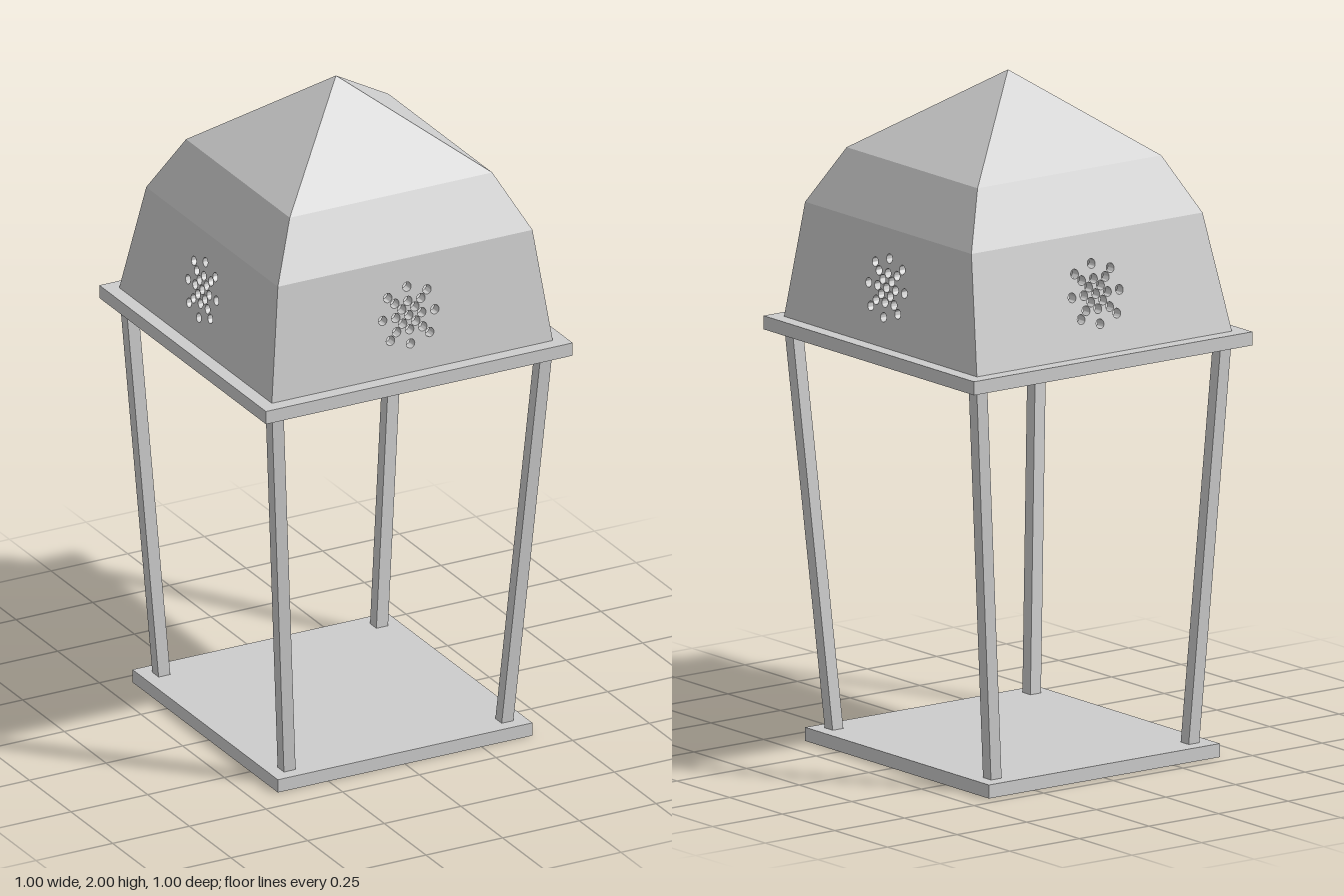
import * as THREE from 'three';
import { toCreasedNormals } from 'three/addons/utils/BufferGeometryUtils.js';

// Dome rings: height and reach of the front, left (+x), back and right (-x) sides
const RINGS = [
  { y: 1.25, reach: [0.458, 0.458, 0.458, 0.458] },
  { y: 1.59, reach: [0.415, 0.415, 0.375, 0.415] },
  { y: 1.755, reach: [0.33, 0.33, 0.292, 0.33] },
  { y: 2.0, reach: [0, 0, 0, 0] },
];
const SIDES = ['front', 'left', 'back', 'right'];
const WALL = 0.03;

// Star of small round holes: long upright and level arms, diagonal arms between
function starHoles() {
  const spots = [[0, 0]];
  for (const [a, b] of [[1, 0], [-1, 0], [0, 1], [0, -1]])
    for (const r of [0.0425, 0.085]) spots.push([a * r, b * r]);
  for (const a of [-1, 1]) for (const b of [-1, 1])
    for (const r of [0.0213, 0.0425, 0.064]) spots.push([a * r, b * r]);
  return spots.map(([x, y]) => new THREE.Path().absarc(x, 1.42 + y, 0.0138, 0, Math.PI * 2, true));
}

// Reach of one side at height y on the lowest dome band
function reachAt(side, y) {
  const [a, b] = RINGS;
  const k = side % 4;
  return THREE.MathUtils.mapLinear(y, a.y, b.y, a.reach[k], b.reach[k]);
}

// Leaning pierced wall, mitred at its corners
function wallGeometry(side) {
  const [y0, y1] = [RINGS[0].y, RINGS[1].y];
  const shape = new THREE.Shape([
    new THREE.Vector2(-reachAt(side + 3, y0), y0),
    new THREE.Vector2(reachAt(side + 1, y0), y0),
    new THREE.Vector2(reachAt(side + 1, y1), y1),
    new THREE.Vector2(-reachAt(side + 3, y1), y1),
  ]);
  shape.holes = starHoles();
  const geo = new THREE.ExtrudeGeometry(shape, { depth: WALL, bevelEnabled: false, curveSegments: 16 });
  const p = geo.attributes.position;
  for (let i = 0; i < p.count; i++) {
    const y = p.getY(i);
    const d = WALL - p.getZ(i);
    const u = THREE.MathUtils.clamp(p.getX(i), d - reachAt(side + 3, y), reachAt(side + 1, y) - d);
    p.setXYZ(i, u, y, reachAt(side, y) - d);
  }
  geo.rotateY(side * Math.PI / 2);
  return toCreasedNormals(geo, 0.6);
}

// Faceted band between two rings
function bandGeometry(low, high) {
  const corner = ({ y, reach: [f, l, b, r] }, k) =>
    [[-r, y, f], [l, y, f], [l, y, -b], [-r, y, -b]][k % 4];
  const pos = [];
  for (let k = 0; k < 4; k++) {
    const [a, b, c, d] = [corner(low, k), corner(low, k + 1), corner(high, k + 1), corner(high, k)];
    pos.push(...a, ...b, ...c);
    if (high.reach[0] > 0) pos.push(...a, ...c, ...d);
  }
  const geo = new THREE.BufferGeometry();
  geo.setAttribute('position', new THREE.Float32BufferAttribute(pos, 3));
  geo.computeVertexNormals();
  return geo;
}

// Square post leaning from a bottom point to a top point, cut level at both ends
function legGeometry(x0, z0, x1, z1) {
  const [y0, y1] = [0.04, 1.21];
  const geo = new THREE.BoxGeometry(0.038, y1 - y0, 0.038).translate(0, (y0 + y1) / 2, 0);
  const p = geo.attributes.position;
  for (let i = 0; i < p.count; i++) {
    const t = (p.getY(i) - y0) / (y1 - y0);
    p.setX(i, p.getX(i) + THREE.MathUtils.lerp(x0, x1, t));
    p.setZ(i, p.getZ(i) + THREE.MathUtils.lerp(z0, z1, t));
  }
  geo.computeVertexNormals();
  return geo;
}

export function createModel() {
  const model = new THREE.Group();
  model.name = 'lantern';
  const grey = new THREE.MeshStandardMaterial({ color: 0xcccccc, side: THREE.DoubleSide });
  grey.name = 'light grey';

  const add = (name, geo, parent = model) => {
    const mesh = new THREE.Mesh(geo, grey);
    mesh.name = name;
    parent.add(mesh);
  };

  // Plates; the base reaches further back than forward
  add('basePlate', new THREE.BoxGeometry(0.83, 0.04, 0.873).translate(0, 0.02, -0.0215));
  add('upperPlate', new THREE.BoxGeometry(1, 0.04, 1).translate(0, 1.23, 0));

  // Legs; the back pair leans less
  for (const s of [-1, 1]) {
    const side = s > 0 ? 'Left' : 'Right';
    add('front' + side + 'Leg', legGeometry(s * 0.355, 0.357, s * 0.438, 0.438));
    add('back' + side + 'Leg', legGeometry(s * 0.355, -0.395, s * 0.438, -0.437));
  }

  // Hollow dome
  const dome = new THREE.Group();
  dome.name = 'dome';
  model.add(dome);
  SIDES.forEach((name, i) => add(name + 'PiercedWall', wallGeometry(i), dome));
  add('roofShoulder', bandGeometry(RINGS[1], RINGS[2]), dome);
  add('roofPeak', bandGeometry(RINGS[2], RINGS[3]), dome);

  return model;
}
